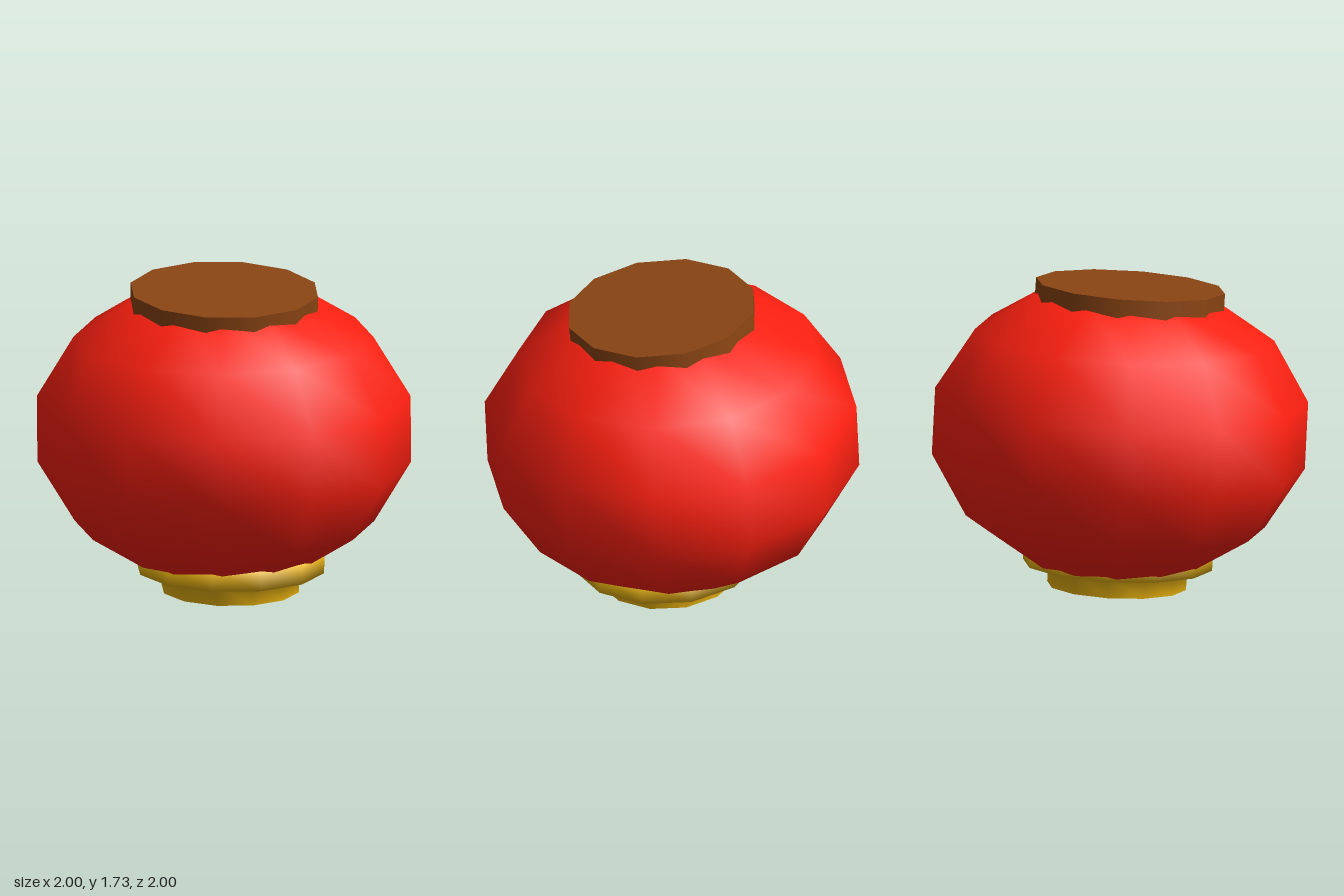
import * as THREE from 'three';

const SIDES = 12;
const RED = 0xff2010, BROWN = 0x8b4513, GOLD = 0xf0b810;

function part(name, geometry, color) {
  const mesh = new THREE.Mesh(geometry, new THREE.MeshStandardMaterial({ color }));
  mesh.name = name;
  return mesh;
}

const lathe = (points) =>
  new THREE.LatheGeometry(points.map(([r, y]) => new THREE.Vector2(r, y)), SIDES);

export function createModel() {
  const model = new THREE.Group();
  model.name = 'paperLantern';

  // Squashed globe, its two ends cut off under the cap and base
  const globe = new THREE.SphereGeometry(1, SIDES, 5, 0, Math.PI * 2, Math.PI / 7, Math.PI * 5 / 7);
  globe.scale(1.034, 0.825, 1.034);
  globe.rotateY(0.17);
  const body = part('lanternBody', globe, RED);
  body.position.y = 0.9;
  body.rotation.set(0.05, 0, 0.023);
  model.add(body);

  // Tilted disc on top
  const cap = part('topCap', new THREE.CylinderGeometry(0.515, 0.515, 0.14, SIDES), BROWN);
  cap.position.set(-0.02, 1.61, 0.06);
  cap.rotation.set(0.098, 0, 0.012);
  model.add(cap);

  // Stepped base: hollow foot below a wider collar
  const base = new THREE.Group();
  base.name = 'base';
  base.add(part('footAndCollar', lathe([
    [0.3, 0.085], [0.36, 0], [0.378, 0], [0.378, 0.115],
    [0.515, 0.115], [0.515, 0.225], [0.4, 0.225],
  ]), GOLD));
  base.add(part('footRecess', lathe([[0, 0.085], [0.3, 0.085]]), GOLD));
  base.position.set(0.032, 0.021, 0.012);
  base.rotation.set(0.055, 0, 0.01);
  model.add(base);

  return model;
}
